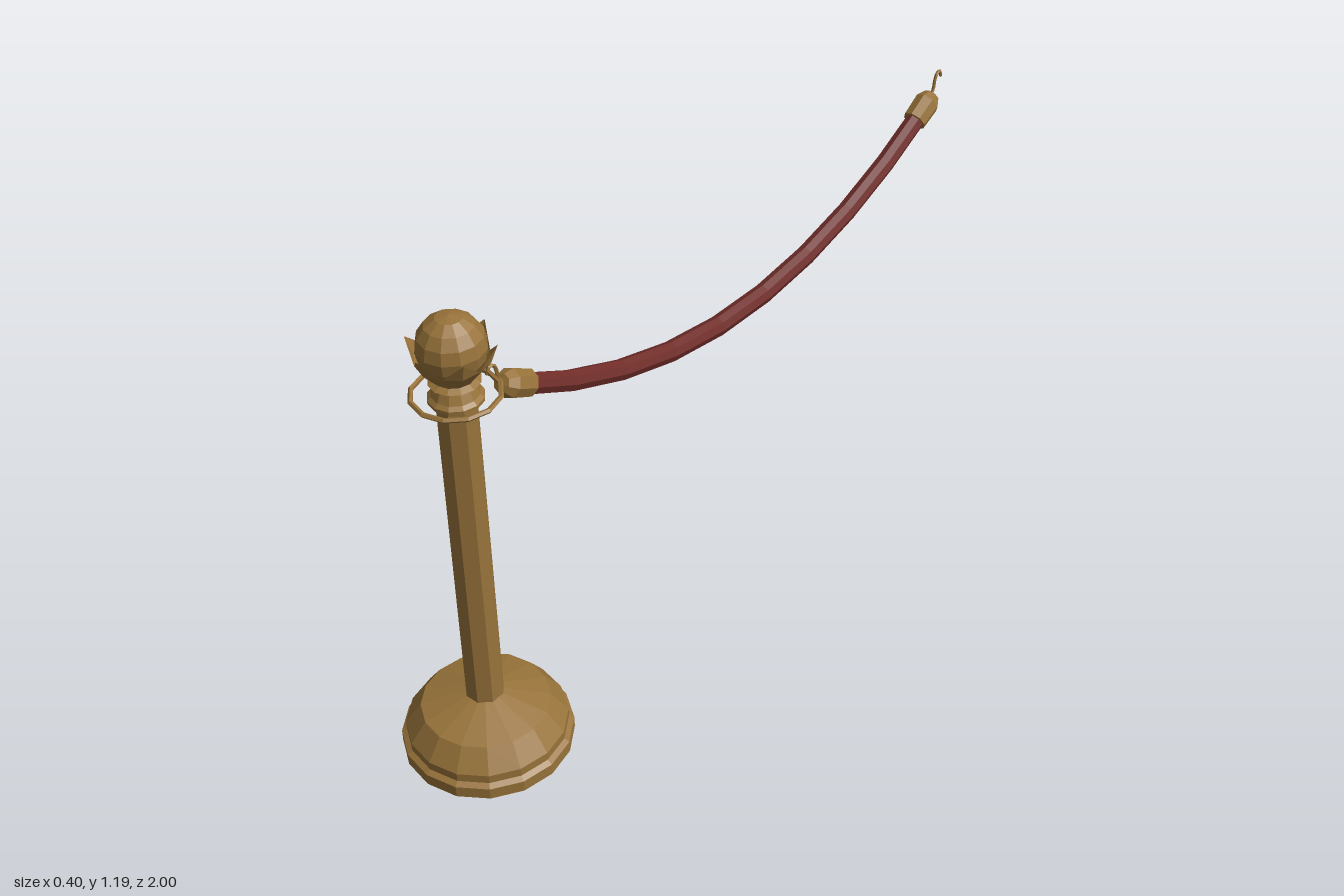
import * as THREE from 'three';

const POST_Z = 0.8, ROPE_Z = -0.143;

// Hanging curve of the rope, d = distance from its lowest point
const sag = (d) => 0.693 + 0.377 * d * d;
class RopeCurve extends THREE.Curve {
  getPoint(t, target = new THREE.Vector3()) {
    const d = THREE.MathUtils.lerp(0.77, -0.77, t);
    return target.set(0, sag(d), d);
  }
}

function lathe(profile, sides, material, name, start = 0) {
  const points = profile.map(([r, y]) => new THREE.Vector2(r, y));
  const mesh = new THREE.Mesh(new THREE.LatheGeometry(points, sides, start), material);
  mesh.name = name;
  return mesh;
}

// Six pointed petals joined into a flaring cup
function petalGeometry(count) {
  const at = (r, y, step) => {
    const a = (step * Math.PI) / count;
    return [r * Math.sin(a), y, r * Math.cos(a)];
  };
  const pos = [];
  for (let i = 0; i < count; i++) {
    const c = 2 * i;
    const tip = at(0.096, 1.125, c), belly = at(0.08, 1.08, c), foot = at(0.045, 1.038, c);
    for (const s of [1, -1]) {
      const side = at(0.078, 1.082, c + s), footSide = at(0.045, 1.038, c + s);
      const tris = [[foot, footSide, side], [foot, side, belly], [belly, side, tip]];
      for (const [p, q, r] of tris) pos.push(...p, ...(s > 0 ? q : r), ...(s > 0 ? r : q));
    }
  }
  const g = new THREE.BufferGeometry();
  g.setAttribute('position', new THREE.Float32BufferAttribute(pos, 3));
  g.computeVertexNormals();
  return g;
}

export function createModel() {
  const model = new THREE.Group();
  model.name = 'ropeBarrier';
  const brass = new THREE.MeshStandardMaterial({ color: 0x98733a, flatShading: true });
  brass.name = 'brass';
  const brassThin = brass.clone();
  brassThin.side = THREE.DoubleSide;
  const velvet = new THREE.MeshStandardMaterial({ color: 0x702d29, flatShading: true });
  velvet.name = 'red velvet';

  // Post with stepped foot, collar and ball finial
  const stand = new THREE.Group();
  stand.name = 'stand';
  stand.position.z = POST_Z;
  model.add(stand);
  stand.add(lathe([[0, 0], [0.2, 0], [0.2, 0.03], [0.188, 0.038], [0.188, 0.06],
    [0.15, 0.112], [0.04, 0.146], [0, 0.146]], 16, brass, 'base'));
  stand.add(lathe([[0.0455, 0.13], [0.0455, 0.985]], 8, brass, 'pole', Math.PI / 8));
  stand.add(lathe([[0, 0.98], [0.06, 0.982], [0.06, 0.99], [0.052, 0.998], [0.042, 1.02],
    [0.056, 1.028], [0.041, 1.036], [0.045, 1.046], [0, 1.046]], 12, brass, 'collar'));

  const ring = new THREE.Mesh(new THREE.TorusGeometry(0.094, 0.006, 5, 12), brass);
  ring.name = 'hookRing';
  ring.rotation.x = Math.PI / 2;
  ring.position.y = 0.995;
  stand.add(ring);

  const ball = new THREE.Mesh(new THREE.SphereGeometry(0.075, 12, 8), brass);
  ball.name = 'finialBall';
  ball.position.y = 1.112;
  stand.add(ball);

  const petals = new THREE.Mesh(petalGeometry(6), brassThin);
  petals.name = 'finialPetals';
  stand.add(petals);

  // Sagging rope
  const hanging = new THREE.Group();
  hanging.name = 'hangingRope';
  hanging.position.z = ROPE_Z;
  model.add(hanging);
  const rope = new THREE.Mesh(new THREE.TubeGeometry(new RopeCurve(), 9, 0.025, 8), velvet);
  rope.name = 'rope';
  hanging.add(rope);

  // End cap and hook at both ends
  for (const s of [1, -1]) {
    const cap = lathe([[0, -0.045], [0.032, -0.045], [0.034, 0.018], [0.022, 0.042], [0, 0.046]],
      8, brass, s > 0 ? 'frontCap' : 'backCap');
    cap.position.set(0, sag(0.778) + 0.003, s * 0.778);
    cap.quaternion.setFromUnitVectors(new THREE.Vector3(0, 1, 0),
      new THREE.Vector3(0, 0.56, s).normalize());
    hanging.add(cap);

    const path = [[0.805, 0.938], [0.822, 0.962], [0.827, 0.988], [0.836, 1.004],
      [0.848, 1.004], [0.853, 0.988]].map(([z, y]) => new THREE.Vector3(0, y, s * z));
    const hook = new THREE.Mesh(
      new THREE.TubeGeometry(new THREE.CatmullRomCurve3(path), 12, 0.0045, 5), brassThin);
    hook.name = s > 0 ? 'frontHook' : 'backHook';
    hanging.add(hook);
  }
  return model;
}
